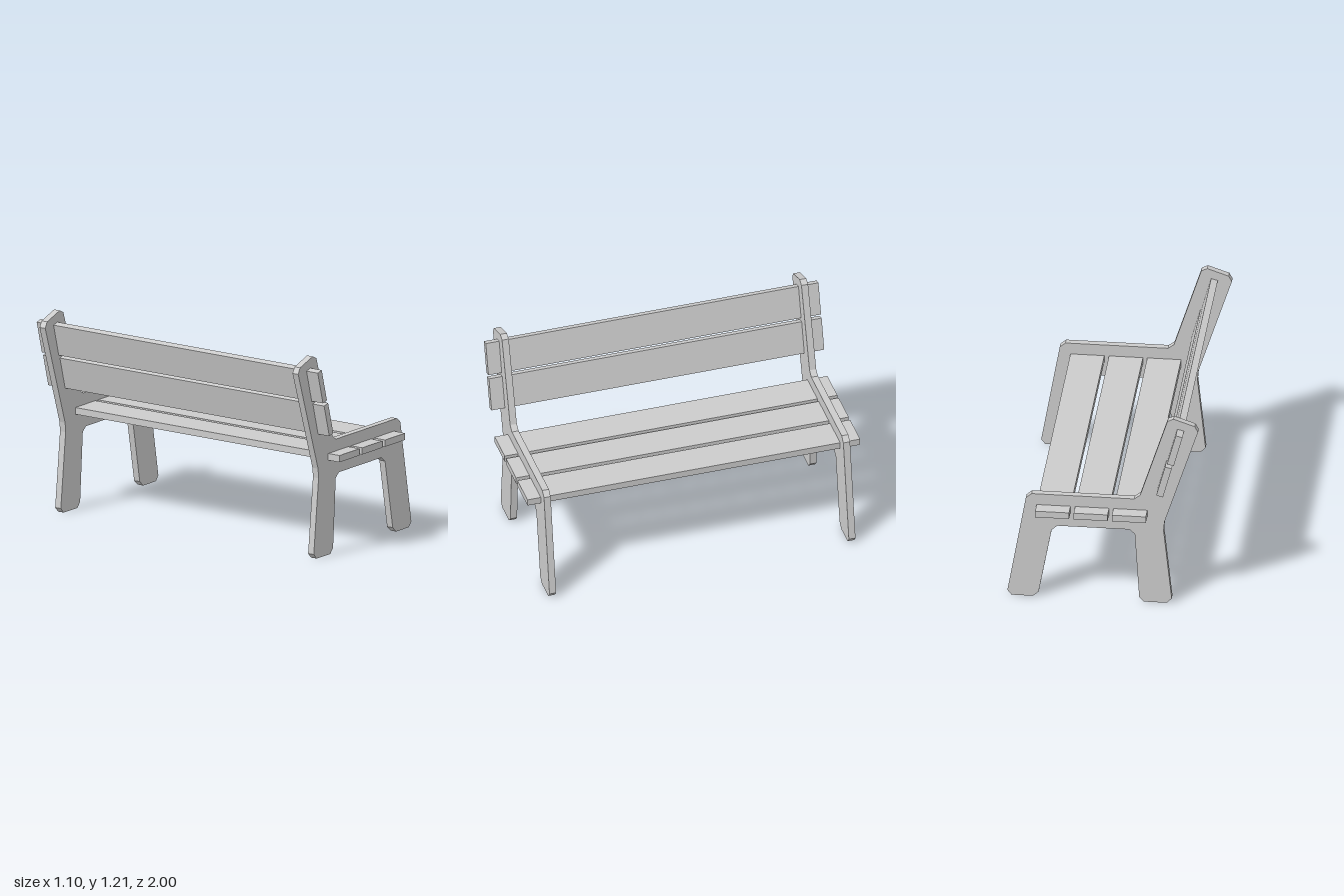
import * as THREE from 'three';

export function createModel() {
  const bench = new THREE.Group();
  bench.name = 'bench';
  const material = new THREE.MeshStandardMaterial({ color: 0xcccccc, flatShading: true });

  function add(name, geometry, x, y, z, tilt = 0) {
    const mesh = new THREE.Mesh(geometry, material);
    mesh.name = name;
    mesh.position.set(x, y, z);
    mesh.rotation.z = tilt;
    bench.add(mesh);
  }

  // Side frame outline: rear leg, underside, front leg, armrest, backrest
  const outline = [
    [-0.40, 0.03], [-0.372, 0], [-0.24, 0], [-0.212, 0.03],
    [-0.186, 0.44], [-0.155, 0.468], [0.26, 0.468], [0.294, 0.44],
    [0.369, 0.03], [0.402, 0], [0.526, 0], [0.55, 0.03],
    [0.443, 0.642], [0.41, 0.67], [-0.183, 0.67], [-0.217, 0.696],
    [-0.375, 1.19], [-0.41, 1.207], [-0.533, 1.165], [-0.552, 1.13],
    [-0.358, 0.53], [-0.353, 0.473],
  ].map(([x, y]) => new THREE.Vector2(x, y));
  const thickness = 0.04;
  const frame = new THREE.ExtrudeGeometry(new THREE.Shape(outline), {
    depth: thickness, bevelEnabled: false,
  });
  frame.translate(0, 0, -thickness / 2);
  add('frontSideFrame', frame, 0, 0, 0.9);
  add('rearSideFrame', frame, 0, 0, -0.9);

  // Seat slats run the full length through both frames
  const seatSlat = new THREE.BoxGeometry(0.196, 0.04, 2);
  [-0.161, 0.06, 0.283].forEach((x, i) => add(`seatSlat${i + 1}`, seatSlat, x, 0.58, 0));

  // Backrest slats lean backwards
  const backSlat = new THREE.BoxGeometry(0.04, 0.196, 2);
  [[-0.364, 0.835], [-0.426, 1.043]].forEach(([x, y], i) =>
    add(`backSlat${i + 1}`, backSlat, x, y, 0, THREE.MathUtils.degToRad(15)));

  return bench;
}
